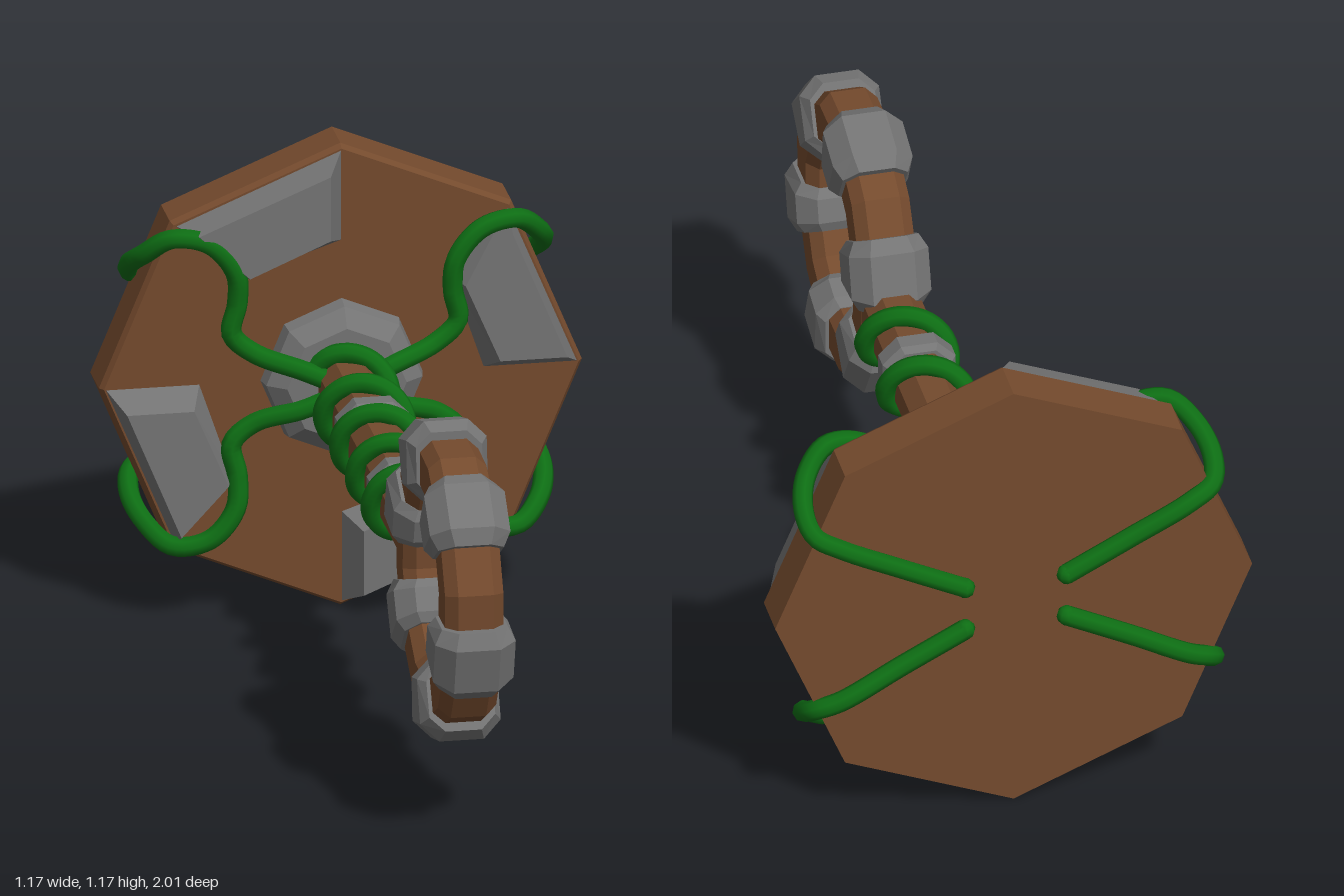
import * as THREE from 'three';

const CY = 0.587;                 // height of the shaft axis
const RING_Z = 0.622, RING_R = 0.29;

const mat = (name, color, flatShading) => {
  const m = new THREE.MeshStandardMaterial({ color, flatShading });
  m.name = name;
  return m;
};

// Square cross-section with cut corners, counter-clockwise
const section = (h, c) => [[h, -c], [h, c], [c, h], [-c, h], [-h, c], [-h, -c], [-c, -h], [c, -h]];

// Regular octagon with a corner on the x axis
const octagon = (r) => Array.from({ length: 8 }, (_, i) => {
  const a = i * Math.PI / 4;
  return [r * Math.cos(a), r * Math.sin(a)];
});

// Faceted skin over a row of cross-sections, with end caps unless closed
function loft(rings, closed = false) {
  const pos = [], n = rings[0].length, m = rings.length;
  const tri = (...pts) => pts.forEach((p) => pos.push(...p));
  for (let i = 0; i < (closed ? m : m - 1); i++) {
    const A = rings[i], B = rings[(i + 1) % m];
    for (let j = 0; j < n; j++) {
      const k = (j + 1) % n;
      tri(A[j], A[k], B[k]);
      tri(A[j], B[k], B[j]);
    }
  }
  if (!closed) {
    const A = rings[0], B = rings[m - 1];
    for (let j = 1; j < n - 1; j++) {
      tri(A[0], A[j + 1], A[j]);
      tri(B[0], B[j], B[j + 1]);
    }
  }
  const g = new THREE.BufferGeometry();
  g.setAttribute('position', new THREE.Float32BufferAttribute(pos, 3));
  g.computeVertexNormals();
  return g;
}

// Cross-section laid flat at depth z
const atZ = (pts, z) => pts.map(([x, y]) => [x, y, z]);

// Cross-section placed on the ring handle at angle a
const onRing = (pts, a) => pts.map(([u, v]) =>
  [-v, (RING_R + u) * Math.sin(a), RING_Z - (RING_R + u) * Math.cos(a)]);

export function createModel() {
  const group = new THREE.Group();
  group.name = 'ringHandledMallet';
  const body = new THREE.Group();
  body.position.y = CY;
  group.add(body);

  const wood = mat('wood', 0x744a2d, true);
  const stone = mat('stone', 0x747474, true);
  const vine = mat('vine', 0x0e6e14, false);

  const add = (name, geometry, material) => {
    const mesh = new THREE.Mesh(geometry, material);
    mesh.name = name;
    body.add(mesh);
    return mesh;
  };

  // Octagonal head plate and central boss
  add('headPlate', loft([atZ(octagon(0.587), -0.955), atZ(octagon(0.587), -0.84),
    atZ(octagon(0.577), -0.825)]), wood);
  add('boss', loft([atZ(octagon(0.198), -0.83), atZ(octagon(0.19), -0.785),
    atZ(octagon(0.145), -0.75)]), stone);

  // Four raised stone panels, one on every second sector
  const panel = loft([
    atZ([[0.345, 0], [0.573, 0], [0.405, 0.402], [0.265, 0.235]], -0.827),
    atZ([[0.372, 0.04], [0.535, 0.04], [0.403, 0.36], [0.288, 0.236]], -0.745),
  ]);
  for (let i = 0; i < 4; i++) add('headPanel', panel, stone).rotation.z = i * Math.PI / 2;

  // Shaft and its two bands
  add('shaft', loft([atZ(section(0.07, 0.033), -0.82), atZ(section(0.07, 0.033), 0.34)]), wood);
  for (const z of [0.025, -0.4]) {
    add('shaftBand', loft([[-0.037, 0.077], [-0.022, 0.09], [0.022, 0.09], [0.037, 0.077]]
      .map(([dz, h]) => atZ(section(h, h * 0.5), z + dz))), stone);
  }

  // Ring handle
  const ringSections = [];
  for (let i = 0; i < 12; i++) {
    ringSections.push(onRing(section(0.071, 0.043), THREE.MathUtils.degToRad(17 + i * 30)));
  }
  add('ringHandle', loft(ringSections, true), wood);

  // Stone clamps round the ring
  for (const deg of [17, 73, 133, 196, 255, 326]) {
    add('ringClamp', loft([[-15, 0.08], [-9, 0.098], [9, 0.098], [15, 0.08]].map(([d, h]) =>
      onRing(section(h, h * 0.55), THREE.MathUtils.degToRad(deg + d)))), stone);
  }

  // Vine tubes with rounded ends
  const tip = new THREE.SphereGeometry(0.025, 8, 6);
  const addVine = (name, points, segments) => {
    const curve = new THREE.CatmullRomCurve3(points);
    add(name, new THREE.TubeGeometry(curve, segments, 0.025, 8), vine);
    for (const p of [points[0], points[points.length - 1]]) add(name + 'Tip', tip, vine).position.copy(p);
  };

  // Vine spiralling along the shaft
  const spiral = [];
  for (let i = 0; i <= 56; i++) {
    const t = i / 12, a = -Math.PI / 2 + t * Math.PI * 2;
    spiral.push(new THREE.Vector3(0.092 * Math.cos(a), 0.092 * Math.sin(a), 0.23 - 0.2125 * t));
  }
  addVine('spiralVine', spiral, 200);

  // Four mirrored branches winding over the head and round to its back
  const branch = [
    [0.04, 0.02, -0.73], [0.11, 0.05, -0.74], [0.22, 0.088, -0.775], [0.275, 0.14, -0.78],
    [0.262, 0.22, -0.775], [0.268, 0.3, -0.765], [0.33, 0.375, -0.765], [0.42, 0.39, -0.78],
    [0.48, 0.34, -0.825], [0.503, 0.29, -0.9], [0.488, 0.25, -0.955], [0.43, 0.22, -0.978],
    [0.28, 0.14, -0.978], [0.125, 0.06, -0.978],
  ];
  for (const sx of [1, -1]) {
    for (const sy of [1, -1]) {
      addVine('branchVine', branch.map(([x, y, z]) => new THREE.Vector3(sx * x, sy * y, z)), 80);
    }
  }

  return group;
}
